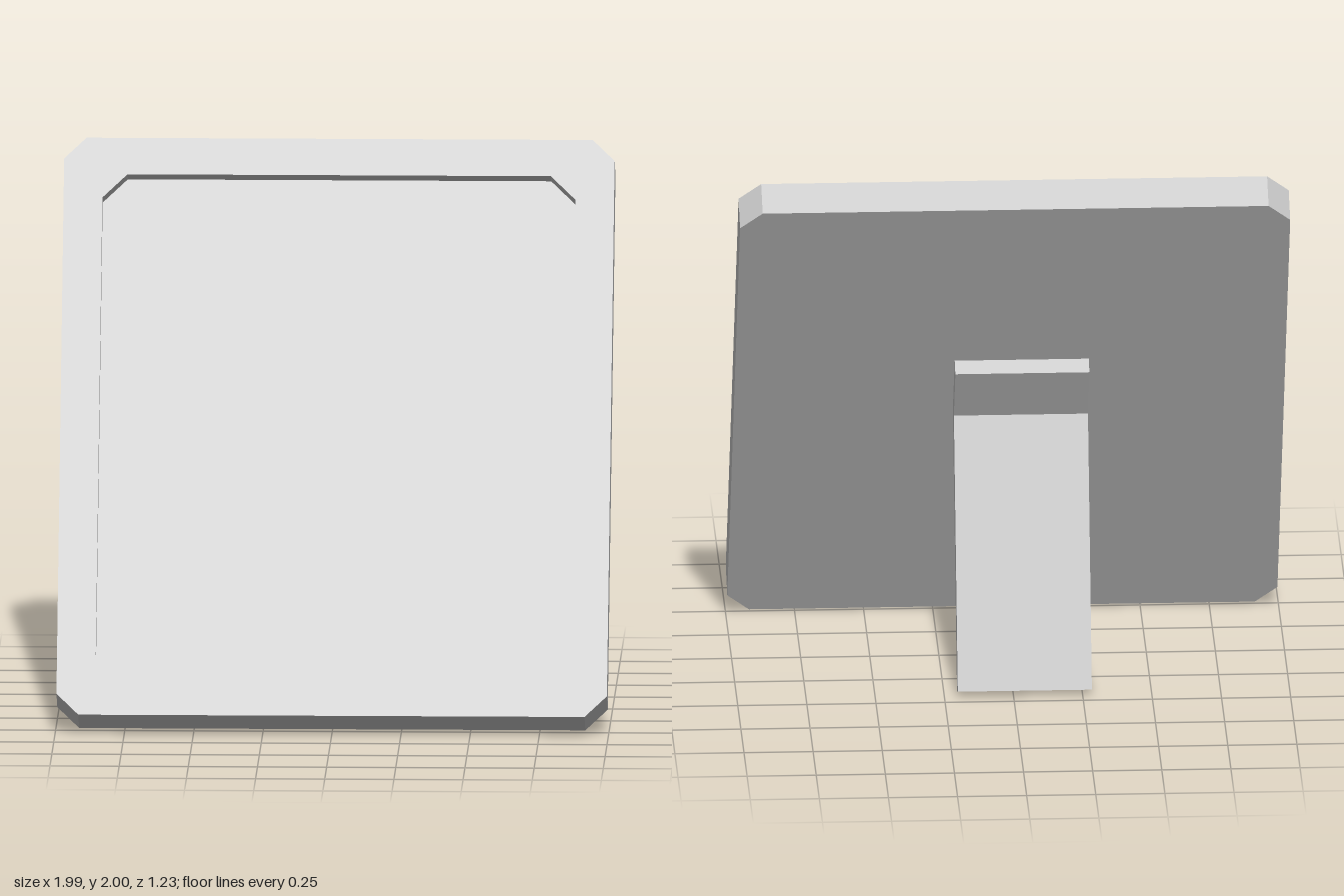
import * as THREE from 'three';

const material = new THREE.MeshStandardMaterial({ color: 0xcccccc, flatShading: true });

const HALF_WIDTH = 0.995, HEIGHT = 2.22, THICKNESS = 0.14;
const BORDER = 0.14, RECESS = 0.053;

// Rectangle with cut corners, counter-clockwise seen from the front
function cutRectangle(inset, cut) {
  const x = HALF_WIDTH - inset, bottom = inset, top = HEIGHT - inset;
  return [
    [x - cut, bottom], [x, bottom + cut], [x, top - cut], [x - cut, top],
    [cut - x, top], [-x, top - cut], [-x, bottom + cut], [cut - x, bottom],
  ];
}

// Skins a series of rings with quads and closes the first ring with a flat cap
function loftRings(rings) {
  const positions = [];
  const n = rings[0].length;
  for (let r = 0; r + 1 < rings.length; r++) {
    const a = rings[r], b = rings[r + 1];
    for (let i = 0; i < n; i++) {
      const j = (i + 1) % n;
      positions.push(...a[i], ...a[j], ...b[j], ...a[i], ...b[j], ...b[i]);
    }
  }
  for (let i = 1; i + 1 < n; i++) {
    positions.push(...rings[0][0], ...rings[0][i + 1], ...rings[0][i]);
  }
  const geometry = new THREE.BufferGeometry();
  geometry.setAttribute('position', new THREE.Float32BufferAttribute(positions, 3));
  geometry.computeVertexNormals();
  return geometry;
}

function addMesh(parent, name, geometry) {
  const mesh = new THREE.Mesh(geometry, material);
  mesh.name = name;
  parent.add(mesh);
  return mesh;
}

export function createModel() {
  const model = new THREE.Group();
  model.name = 'pictureFrame';

  // Board leaning back by 30 degrees
  const board = new THREE.Group();
  board.name = 'board';
  board.position.set(0, 0.078, 0.617);
  board.rotation.x = -Math.PI / 6;
  model.add(board);

  // Frame: back, outer edge, front border and recess wall
  const outer = cutRectangle(0, 0.08);
  const inner = cutRectangle(BORDER, 0.09);
  const ringAt = (points, z) => points.map(([x, y]) => [x, y, z]);
  addMesh(board, 'frame', loftRings([
    ringAt(outer, -THICKNESS), ringAt(outer, 0), ringAt(inner, 0), ringAt(inner, -RECESS),
  ]));

  // Recessed picture surface
  const panelShape = new THREE.Shape(inner.map(([x, y]) => new THREE.Vector2(x, y)));
  addMesh(board, 'picturePanel', new THREE.ShapeGeometry(panelShape)).position.z = -RECESS;

  // Bent rear stand: side profile (distance behind centre, height) extruded across x
  const profile = [
    [0.059, 0.971], [0.387, 0], [0.455, 0.024], [0.14, 0.971], [0.259, 1.173], [0.203, 1.205],
  ];
  const standShape = new THREE.Shape(profile.map(([u, v]) => new THREE.Vector2(u, v)));
  const standGeometry = new THREE.ExtrudeGeometry(standShape, { depth: 0.485, bevelEnabled: false });
  standGeometry.rotateY(Math.PI / 2);
  addMesh(model, 'rearStand', standGeometry).position.x = -0.283;

  return model;
}
